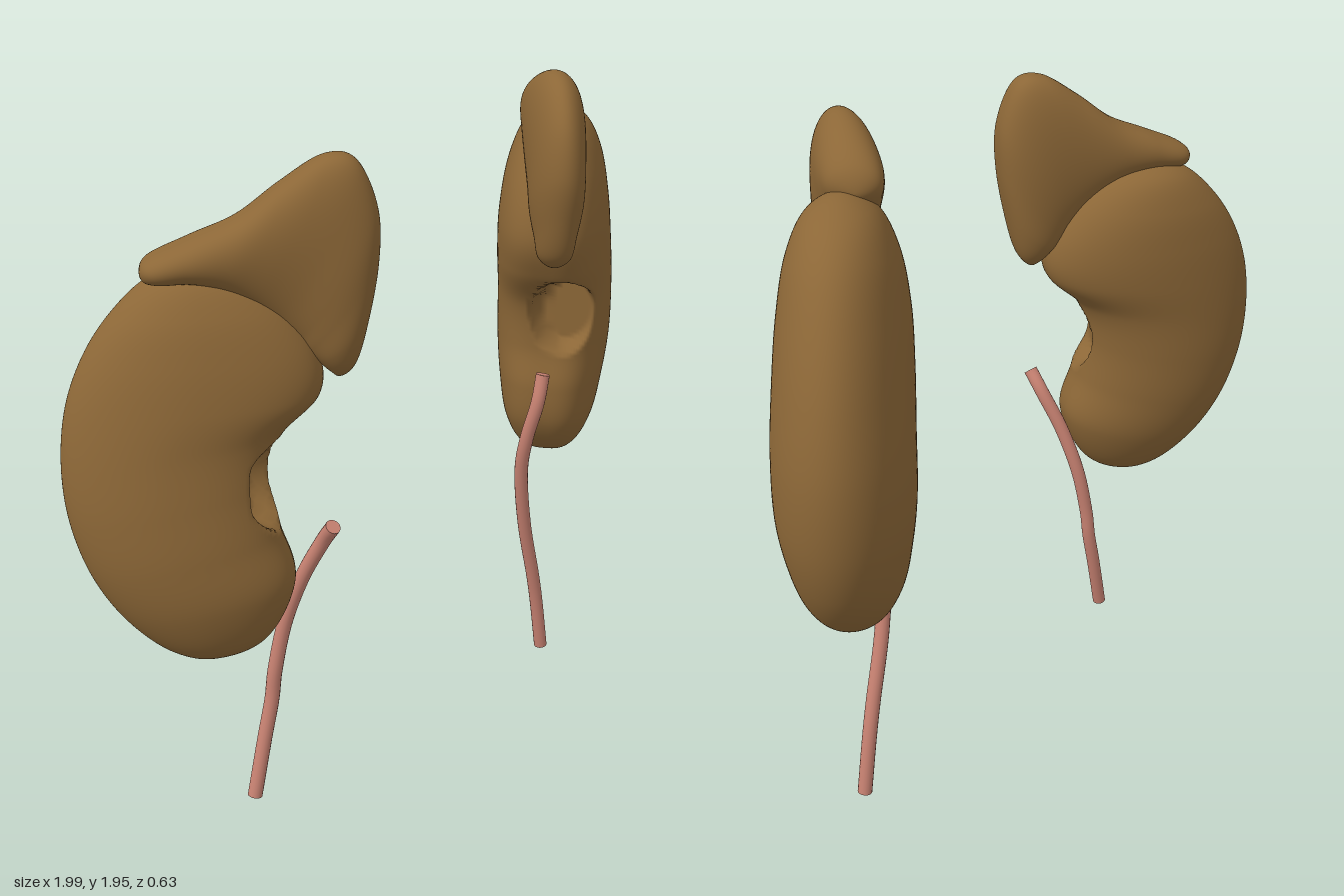
import * as THREE from 'three';

const brown = new THREE.MeshStandardMaterial({ color: 0x8c6737 });
brown.name = 'organ brown';
const pink = new THREE.MeshStandardMaterial({ color: 0xc88272 });
pink.name = 'duct pink';

const ROWS = 120, SEGS = 120;
const TURN = THREE.MathUtils.degToRad(35);

const spline = (pts, closed = false) => new THREE.CatmullRomCurve3(
  pts.map(([x, y, z = 0]) => new THREE.Vector3(x, y, z)), closed, 'catmullrom');

// Closed organ shape: oval sections spanning the two sides a and b of one smooth outline.
// shape(p, phi) may move each point before the organ is turned into place.
function loft({ a, b, thick, shape }, mirrored, tilt = 0, pivotY = 0) {
  const outline = spline([...a, ...b.slice(1, -1).reverse()], true);
  const ct = spline(thick.map((t) => [t, 0]));
  const pos = [], index = [];
  for (let i = 0; i <= ROWS; i++) {
    const u = i / ROWS;
    const pa = outline.getPoint(u / 2), pb = outline.getPoint(1 - u / 2);
    const t = Math.max(0, ct.getPoint(u).x);
    for (let j = 0; j < SEGS; j++) {
      const phi = (j / SEGS) * Math.PI * 2;
      const p = pa.clone().lerp(pb, 0.5 + 0.5 * Math.cos(phi));
      p.z = t * Math.sin(phi);
      shape(p, phi);
      pos.push(p.x, p.y, p.z);
      if (i === ROWS) continue;
      const k = i * SEGS + j, kj = i * SEGS + (j + 1) % SEGS;
      const quad = [k, kj, k + SEGS, kj, kj + SEGS, k + SEGS];
      index.push(...(mirrored ? quad.reverse() : quad));
    }
  }
  const g = new THREE.BufferGeometry();
  g.setAttribute('position', new THREE.Float32BufferAttribute(pos, 3));
  g.setIndex(index);
  g.translate(0, -pivotY, 0).rotateX(tilt).translate(0, pivotY, 0);
  g.rotateY(TURN).translate(0.7, 0, -0.07);
  if (mirrored) g.scale(-1, 1, 1);
  g.computeVertexNormals();
  return g;
}

// Makes an oval section blunter
const blunt = (p, phi, power) => { p.z *= Math.max(Math.abs(Math.sin(phi)), 0.01) ** -power; };

// Kidney: blunt along the inner edge, front and back, with a steep-walled hollow in it
const kidneyShape = (yc, front, back) => (p, phi) => {
  if (Math.cos(phi) > 0) return;
  blunt(p, phi, Math.sin(phi) > 0 ? front : back);
  const d = Math.hypot((p.y - yc) / 0.125, (p.z - 0.055) / 0.095);
  const f = 1 - THREE.MathUtils.smoothstep(d, 0.8, 1.05);
  p.x += f * Math.max(0, -0.14 - p.x);
};

// Each kidney and gland is drawn in its own upright plane as (across, height)
const leftKidney = {
  a: [[-0.11, 1.82], [-0.23, 1.765], [-0.325, 1.63], [-0.365, 1.48], [-0.325, 1.36], [-0.24, 1.24],
    [-0.215, 1.1], [-0.23, 0.97], [-0.21, 0.84], [-0.125, 0.735], [0, 0.7]],
  b: [[-0.11, 1.82], [0.02, 1.795], [0.13, 1.72], [0.22, 1.59], [0.29, 1.43], [0.33, 1.25],
    [0.325, 1.07], [0.28, 0.92], [0.2, 0.8], [0.11, 0.725], [0, 0.7]],
  thick: [0, 0.085, 0.135, 0.16, 0.17, 0.175, 0.175, 0.16, 0.135, 0.085, 0],
  shape: kidneyShape(1.21, 0.4, 0.3),
};
const rightKidney = {
  a: [[-0.02, 1.58], [-0.15, 1.555], [-0.26, 1.47], [-0.335, 1.35], [-0.335, 1.24], [-0.235, 1.14],
    [-0.205, 1.02], [-0.22, 0.88], [-0.255, 0.73], [-0.175, 0.565], [-0.03, 0.505]],
  b: [[-0.02, 1.58], [0.09, 1.55], [0.19, 1.46], [0.265, 1.35], [0.315, 1.22], [0.335, 1.07],
    [0.325, 0.92], [0.28, 0.77], [0.2, 0.64], [0.09, 0.54], [-0.03, 0.505]],
  thick: [0, 0.085, 0.135, 0.16, 0.17, 0.17, 0.175, 0.175, 0.155, 0.09, 0],
  shape: kidneyShape(1.01, 0.35, 0),
};

// Crescent gland resting on the kidney, its inner end swung forward
const leftGland = {
  a: [[-0.1, 1.82], [-0.125, 1.88], [-0.21, 1.93], [-0.33, 1.955], [-0.43, 1.925], [-0.51, 1.83],
    [-0.535, 1.7], [-0.51, 1.57], [-0.47, 1.46], [-0.41, 1.415]],
  b: [[-0.1, 1.82], [-0.125, 1.78], [-0.16, 1.73], [-0.2, 1.66], [-0.24, 1.6], [-0.28, 1.54],
    [-0.31, 1.5], [-0.345, 1.46], [-0.37, 1.43], [-0.41, 1.415]],
  thick: [0, 0.06, 0.08, 0.085, 0.085, 0.08, 0.075, 0.06, 0.045, 0],
  shape: (p) => { p.z -= 0.25 * (p.x + 0.25); },
};
// Peaked, three-cornered gland with blunt edges
const rightGland = {
  a: [[0.1, 1.56], [0.09, 1.61], [-0.02, 1.66], [-0.14, 1.71], [-0.25, 1.79], [-0.36, 1.855],
    [-0.44, 1.84], [-0.49, 1.72], [-0.49, 1.58], [-0.46, 1.42], [-0.43, 1.32], [-0.39, 1.28]],
  b: [[0.1, 1.56], [0.06, 1.55], [-0.02, 1.55], [-0.1, 1.53], [-0.17, 1.49], [-0.22, 1.45],
    [-0.25, 1.42], [-0.28, 1.39], [-0.3, 1.36], [-0.33, 1.33], [-0.36, 1.3], [-0.39, 1.28]],
  thick: [0, 0.07, 0.09, 0.095, 0.095, 0.095, 0.095, 0.095, 0.09, 0.08, 0.05, 0],
  shape: (p, phi) => blunt(p, phi, 0.3),
};

// Ureter: thin tube with closed ends
function ureter(name, pts) {
  const group = new THREE.Group();
  group.name = name;
  const r = 0.021, path = spline(pts);
  const tube = new THREE.Mesh(new THREE.TubeGeometry(path, 60, r, 16), pink);
  tube.name = name + 'Tube';
  group.add(tube);
  for (const [u, dir] of [[0, -1], [1, 1]]) {
    const cap = new THREE.Mesh(new THREE.CircleGeometry(r, 16), pink);
    cap.name = name + 'End';
    cap.position.copy(path.getPoint(u));
    cap.quaternion.setFromUnitVectors(
      new THREE.Vector3(0, 0, 1), path.getTangent(u).multiplyScalar(dir));
    group.add(cap);
  }
  return group;
}

export function createModel() {
  const model = new THREE.Group();
  model.name = 'kidneys';
  const add = (name, geometry) => {
    const mesh = new THREE.Mesh(geometry, brown);
    mesh.name = name;
    model.add(mesh);
  };
  add('leftKidney', loft(leftKidney, false));
  add('rightKidney', loft(rightKidney, true, -0.09, 1.1));
  add('leftAdrenalGland', loft(leftGland, false));
  add('rightAdrenalGland', loft(rightGland, true));

  model.add(ureter('leftUreter', [[0.477, 1.04, 0.095], [0.457, 0.95, 0.095], [0.447, 0.83, 0.065],
    [0.46, 0.7, 0.035], [0.505, 0.5, 0.015], [0.56, 0.3, 0.008], [0.588, 0.18, 0.005], [0.617, 0.006, 0.005]]));
  model.add(ureter('rightUreter', [[-0.455, 0.885, 0.2], [-0.452, 0.82, 0.15], [-0.475, 0.7, 0.09],
    [-0.5, 0.55, 0.04], [-0.523, 0.4, 0.018], [-0.533, 0.3, 0.01], [-0.56, 0.18, 0.005], [-0.603, 0.006, 0.005]]));
  return model;
}
